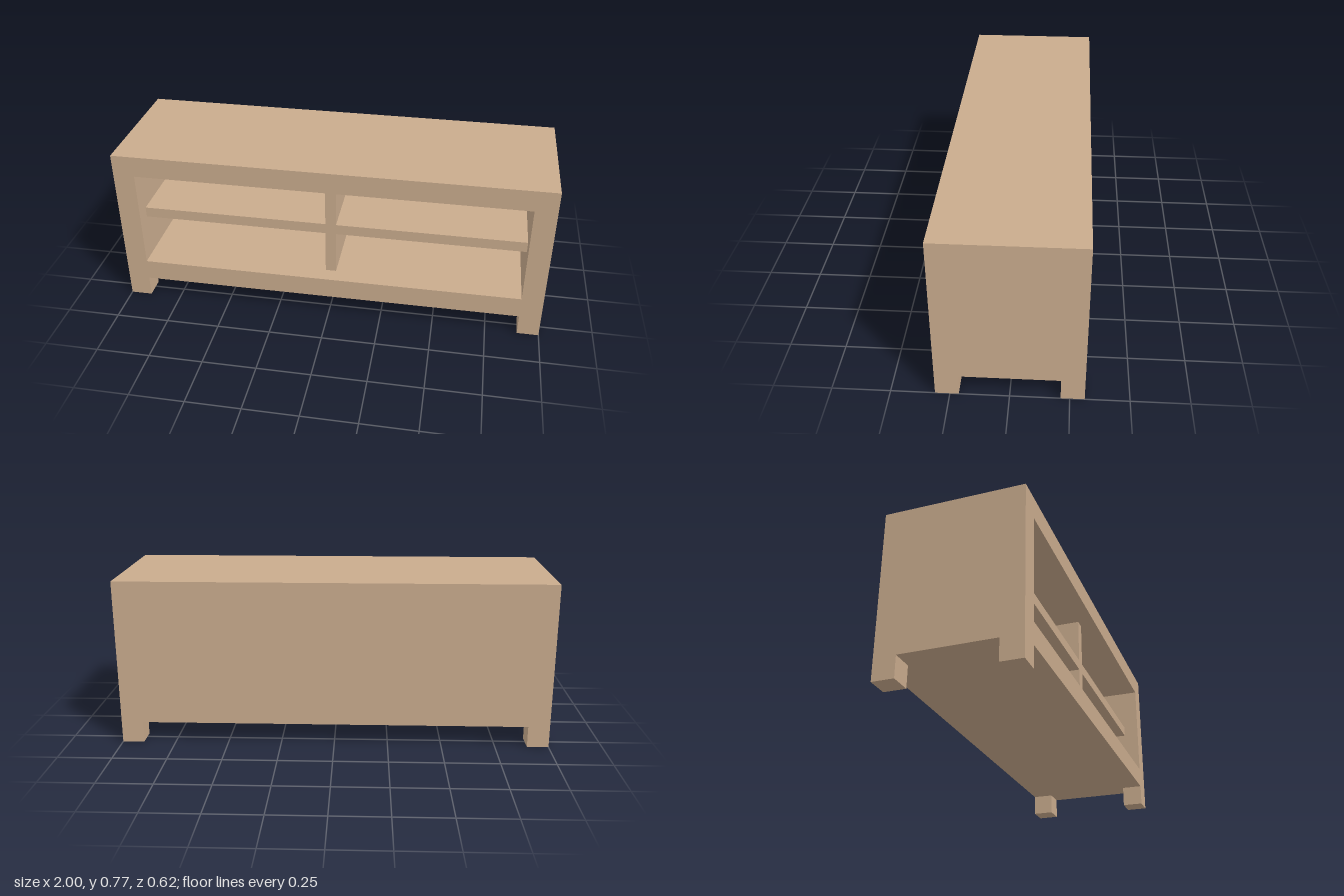
import * as THREE from 'three';

const W = 2, H = 0.775, D = 0.625; // overall size
const T = 0.1;                     // frame, back and leg thickness
const S = 0.05;                    // shelf and divider thickness
const INSET = 0.075;               // shelf set back from the front

export function createModel() {
  const group = new THREE.Group();
  const wood = new THREE.MeshStandardMaterial({ color: 0xc9ab8d });
  wood.name = 'light wood';

  const add = (name, geometry, x, y, z) => {
    const mesh = new THREE.Mesh(geometry, wood);
    mesh.name = name;
    mesh.position.set(x, y, z);
    group.add(mesh);
  };
  const box = (name, w, h, d, x, y, z) => add(name, new THREE.BoxGeometry(w, h, d), x, y, z);

  // Rectangle outline from two corners
  const rect = (Type, x0, y0, x1, y1) => new Type([
    new THREE.Vector2(x0, y0), new THREE.Vector2(x1, y0),
    new THREE.Vector2(x1, y1), new THREE.Vector2(x0, y1),
  ]);

  // Cabinet frame: top, bottom and sides around one opening
  const left = -W / 2 + T, bottom = 2 * T, top = H - T;
  const outline = rect(THREE.Shape, -W / 2, T, W / 2, H);
  outline.holes.push(rect(THREE.Path, left, bottom, -left, top));
  const frame = new THREE.ExtrudeGeometry(outline, { depth: D - T, bevelEnabled: false });
  add('cabinetFrame', frame, 0, 0, -D / 2 + T);

  // Back panel closing the cabinet
  box('backPanel', W, H - T, T, 0, (H + T) / 2, -D / 2 + T / 2);

  // Shelf with an upright divider above and below it
  const depth = D - T - INSET;
  const z = -D / 2 + T + depth / 2;
  const middle = (bottom + top) / 2;
  const gap = (top - bottom - S) / 2;
  box('shelf', W - 2 * T, S, depth, 0, middle, z);
  box('lowerDivider', S, gap, depth, 0, bottom + gap / 2, z);
  box('upperDivider', S, gap, depth, 0, top - gap / 2, z);

  // Four corner legs
  for (const sx of [-1, 1]) {
    for (const sz of [-1, 1]) {
      const name = (sz > 0 ? 'front' : 'back') + (sx > 0 ? 'Left' : 'Right') + 'Leg';
      box(name, T, T, T, sx * (W - T) / 2, T / 2, sz * (D - T) / 2);
    }
  }
  return group;
}
